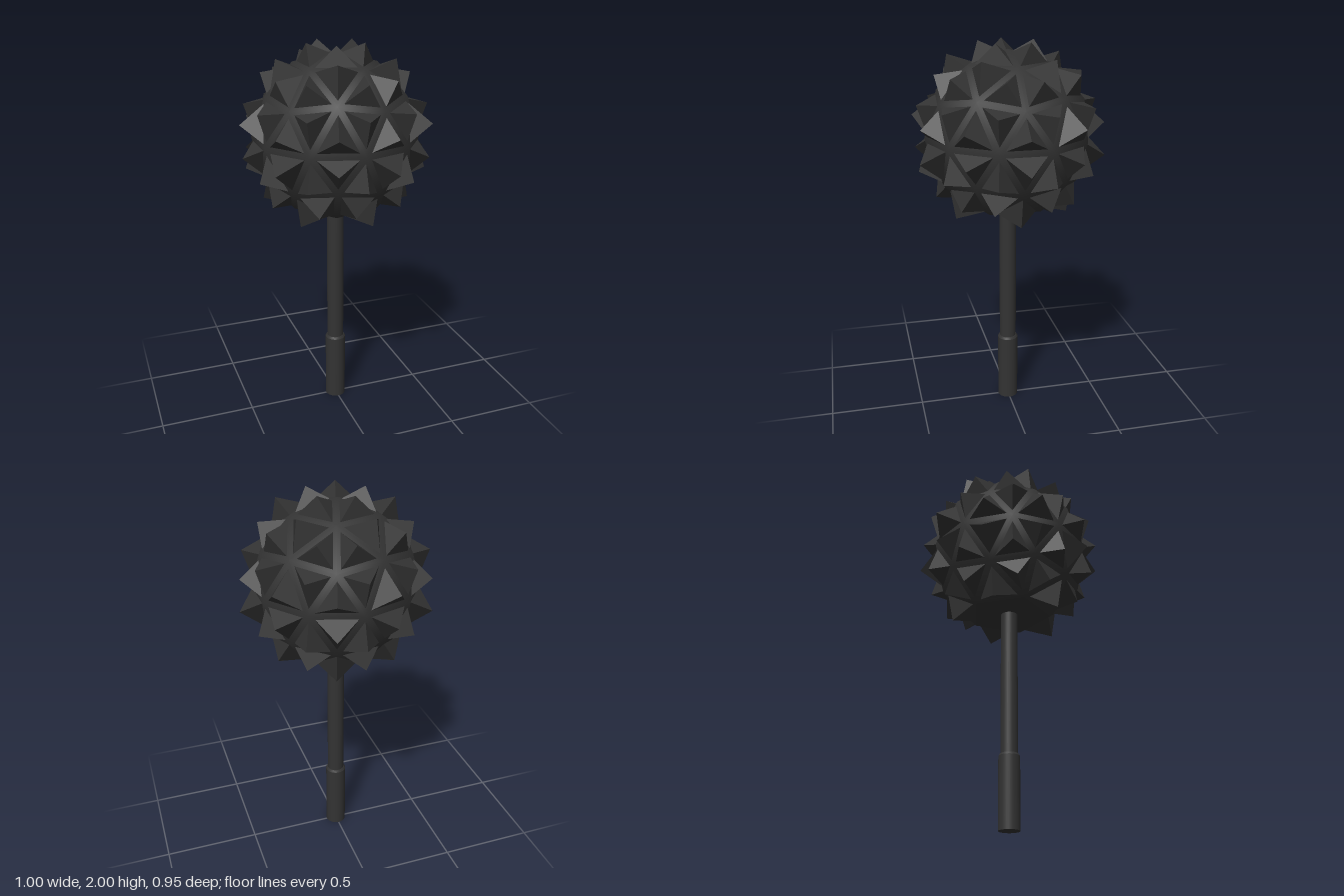
import * as THREE from 'three';

const R = 0.43, CENTER_Y = 1.53, INSET = 0.76;

export function createModel() {
  const group = new THREE.Group();
  const color = 0x333333;
  const smooth = new THREE.MeshStandardMaterial({ color });
  const flat = new THREE.MeshStandardMaterial({ color, flatShading: true });

  const add = (name, geometry, material, y = 0) => {
    const mesh = new THREE.Mesh(geometry, material);
    mesh.name = name;
    mesh.position.y = y;
    group.add(mesh);
  };

  // Icosahedron corners: two poles and two staggered rings of five
  const ring = (degrees, lat) => {
    const a = THREE.MathUtils.degToRad(degrees), c = 2 / Math.sqrt(5);
    return new THREE.Vector3(Math.cos(a) * c, lat / Math.sqrt(5), Math.sin(a) * c).multiplyScalar(R);
  };
  const top = new THREE.Vector3(0, R, 0), bottom = new THREE.Vector3(0, -R, 0);
  const faces = [];
  for (let k = 0; k < 5; k++) {
    const u0 = ring(72 * k, 1), u1 = ring(72 * k + 72, 1);
    const l0 = ring(72 * k + 36, -1), l1 = ring(72 * k + 108, -1);
    faces.push([top, u1, u0], [u0, u1, l0], [u1, l1, l0], [bottom, l0, l1]);
  }

  const shell = [], spikes = [], cap = [];
  const push = (list, ...points) => points.forEach(p => list.push(p.x, p.y, p.z));

  // One ball facet with an inset pyramid standing on it
  const facet = (a, b, c, height) => {
    push(shell, a, b, c);
    const mid = a.clone().add(b).add(c).divideScalar(3);
    const normal = b.clone().sub(a).cross(c.clone().sub(a)).normalize();
    const tip = mid.clone().addScaledVector(normal, height);
    const base = [a, b, c].map(p => mid.clone().lerp(p, INSET));
    for (let i = 0; i < 3; i++) push(spikes, base[i], base[(i + 1) % 3], tip);
  };

  // Split every face in four; the facets at the lower pole become a flat cap
  const half = (p, q) => p.clone().add(q).setLength(R);
  for (const [a, b, c] of faces) {
    const ab = half(a, b), bc = half(b, c), ca = half(c, a);
    facet(ab, bc, ca, 0.105);
    if (a === bottom) push(cap, new THREE.Vector3(0, ab.y, 0), ab, ca);
    else facet(a, ab, ca, 0.088);
    facet(b, bc, ab, 0.088);
    facet(c, ca, bc, 0.088);
  }

  const toGeometry = list => {
    const g = new THREE.BufferGeometry();
    g.setAttribute('position', new THREE.Float32BufferAttribute(list, 3));
    g.computeVertexNormals();
    return g;
  };

  // Round shell with radial normals
  const shellGeometry = toGeometry(shell);
  shellGeometry.setAttribute('normal', new THREE.Float32BufferAttribute(shell.map(v => v / R), 3));
  add('ball', shellGeometry, smooth, CENTER_Y);
  add('spikes', toGeometry(spikes), flat, CENTER_Y);
  add('ballBase', toGeometry(cap), flat, CENTER_Y);

  // Shaft and thicker grip
  add('shaft', new THREE.CylinderGeometry(0.045, 0.045, 0.82, 32), smooth, 0.77);
  add('grip', new THREE.CylinderGeometry(0.055, 0.055, 0.37, 32), smooth, 0.185);
  add('gripShoulder', new THREE.CylinderGeometry(0.048, 0.055, 0.012, 32), smooth, 0.376);

  return group;
}
